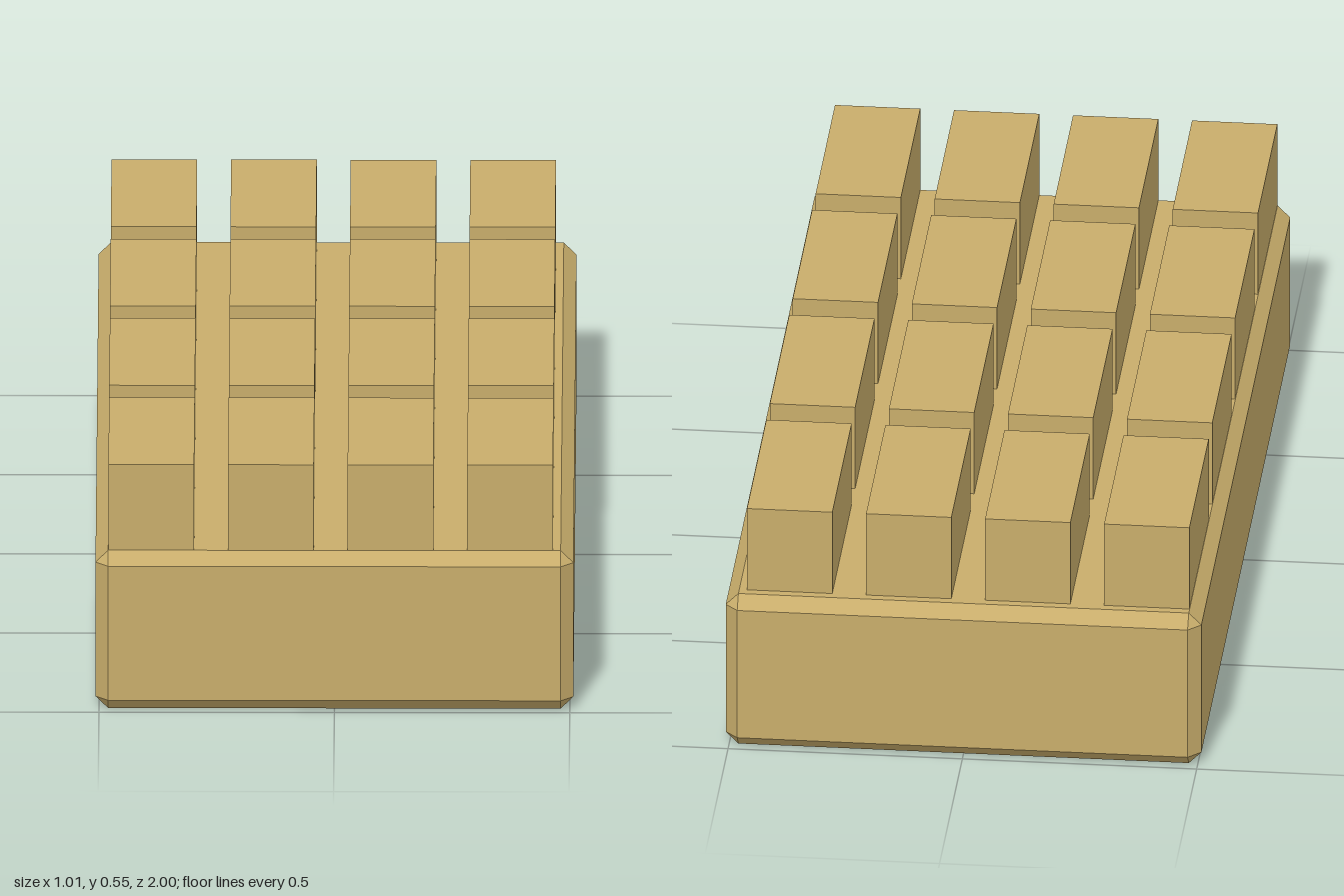
import * as THREE from 'three';
import { ConvexGeometry } from 'three/addons/geometries/ConvexGeometry.js';

// Box with every edge and corner cut at 45 degrees
function chamferedBox(w, h, d, c) {
  const points = [];
  for (const sx of [-1, 1]) for (const sy of [-1, 1]) for (const sz of [-1, 1]) {
    const x = w / 2, y = h / 2, z = d / 2;
    points.push(
      new THREE.Vector3(sx * x, sy * (y - c), sz * (z - c)),
      new THREE.Vector3(sx * (x - c), sy * y, sz * (z - c)),
      new THREE.Vector3(sx * (x - c), sy * (y - c), sz * z),
    );
  }
  return new ConvexGeometry(points);
}

export function createModel() {
  const model = new THREE.Group();
  model.name = 'studdedBlock';
  const tan = new THREE.MeshStandardMaterial({ color: 0xc8ad6b });
  tan.name = 'tan';

  // Base slab
  const baseHeight = 0.356;
  const base = new THREE.Mesh(chamferedBox(1.015, baseHeight, 2, 0.027), tan);
  base.name = 'base';
  base.position.y = baseHeight / 2;
  model.add(base);

  // Four by four grid of raised blocks, slightly off centre
  const studs = new THREE.Group();
  studs.name = 'raisedBlocks';
  const studHeight = 0.193;
  const studGeometry = new THREE.BoxGeometry(0.182, studHeight, 0.424);
  for (let row = 0; row < 4; row++) {
    for (let col = 0; col < 4; col++) {
      const stud = new THREE.Mesh(studGeometry, tan);
      stud.name = 'raisedBlock';
      stud.position.set(-0.389 + col * 0.254, baseHeight + studHeight / 2, 0.761 - row * 0.501);
      studs.add(stud);
    }
  }
  model.add(studs);
  return model;
}
